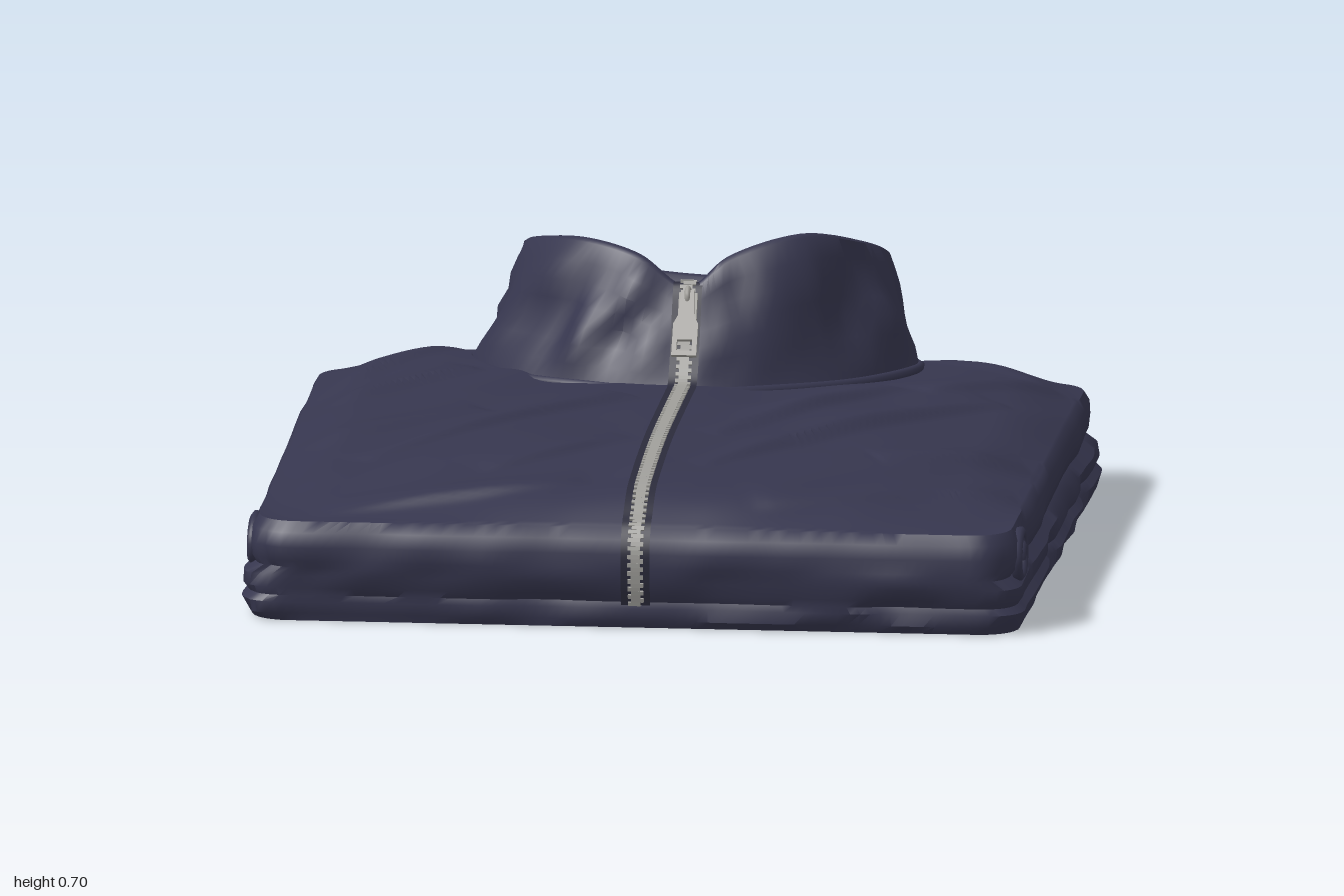
import * as THREE from 'three';
import { mergeGeometries, toCreasedNormals } from 'three/addons/utils/BufferGeometryUtils.js';

const V = (x, y, z) => new THREE.Vector3(x, y, z);
const mat = (name, color, side = THREE.FrontSide) => {
  const m = new THREE.MeshStandardMaterial({ color, side });
  m.name = name;
  return m;
};

// Seeded value noise, 0..1
const hash = (i, j) => {
  const s = Math.sin(i * 127.1 + j * 311.7 + 4.3) * 43758.5453;
  return s - Math.floor(s);
};
function noise(x, y) {
  const i = Math.floor(x), j = Math.floor(y);
  const f = (t) => t * t * (3 - 2 * t), u = f(x - i), v = f(y - j);
  const a = hash(i, j) + (hash(i + 1, j) - hash(i, j)) * u;
  const b = hash(i, j + 1) + (hash(i + 1, j + 1) - hash(i, j + 1)) * u;
  return a + (b - a) * v;
}

// Main cloth creases on the top panel: x, z at both ends, then height
const CREASES = [
  [-0.71, 0.5, -0.1, -0.05, 0.026], [-0.85, -0.18, -0.53, -0.45, 0.022], [-0.4, 0.66, -0.06, 0.4, 0.02],
  [-0.77, 0.9, -0.13, 0.76, 0.018], [-0.95, -0.35, -0.55, -0.82, 0.018], [-0.85, 0.3, -0.45, 0.05, 0.018],
  [0.13, 0.6, 0.8, -0.3, 0.026], [0.13, 0.33, 0.53, -0.32, 0.022], [0.3, 0.87, 0.93, 0.6, 0.02],
  [0.56, 0.46, 0.93, 0.28, 0.018], [0.6, -0.3, 0.9, -0.62, 0.018], [0.4, -0.8, 0.88, -0.66, 0.014],
];

// Each crease is steep on one side and gentle on the other; all calm beside the zip
function folds(x, z) {
  const along = (x - z) * 0.707, across = (x + z) * 0.707;
  let y = 0.022 * (noise(along * 1.7 + 9, across * 4.5) - 0.5) + 0.014 * (noise(along * 4 + 30, across * 9) - 0.5) - 0.007;
  for (const [x1, z1, x2, z2, h] of CREASES) {
    const dx = x2 - x1, dz = z2 - z1, l = Math.hypot(dx, dz);
    const t = ((x - x1) * dx + (z - z1) * dz) / (l * l);
    const d = ((z - z1) * dx - (x - x1) * dz) / l;
    const end = Math.max(0, 1 - (2 * t - 1) ** 2);
    y += h * Math.sqrt(end) * Math.exp(-((d / (d > 0 ? 0.024 : 0.085)) ** 2));
  }
  return y * Math.min(1, Math.abs(x - 0.01) / 0.18);
}

// Skin over closed rings of equal point count, listed from bottom to top
function loft(rings, crease) {
  const n = rings[0].length, index = [];
  for (let i = 0; i < rings.length - 1; i++) {
    for (let j = 0; j < n; j++) {
      const k = (j + 1) % n, a = i * n + j, b = i * n + k;
      index.push(a, b, b + n, a, b + n, a + n);
    }
  }
  const geo = new THREE.BufferGeometry().setFromPoints(rings.flat());
  geo.setIndex(index);
  return toCreasedNormals(geo, crease);
}

// Rounded unit square, from the front edge round to +x
function outline(perSide, r) {
  const pts = [];
  for (let s = 0; s < 4; s++) {
    for (let i = 0; i < perSide; i++) {
      const t = -1 + (2 * i) / perSide;
      const [x, z] = [[t, 1], [1, -t], [-t, -1], [-1, t]][s];
      const c = 1 - r, cx = Math.max(-c, Math.min(c, x)), cz = Math.max(-c, Math.min(c, z));
      const l = Math.hypot(x - cx, z - cz) || 1;
      pts.push([cx + (r * (x - cx)) / l, cz + (r * (z - cz)) / l]);
    }
  }
  return pts;
}

const HX = 0.985, HZ = 0.94, CZ = 0.05, EDGE = 0.25;
const smoothTop = (x, z) => 0.362 - 0.078 * x * x - 0.12 * Math.max(0, z - 0.25) ** 2 - 0.14 * Math.max(0, -z - 0.45) ** 2;
function topHeight(x, z, t) {
  const rise = 1 - (1 - Math.min(1, (1 - t) / 0.17)) ** 2;
  return EDGE + (smoothTop(x, z) + folds(x, z) - EDGE) * rise;
}

// Edge layers: height, then inset at the sides, front and back
const LAYERS = [
  [0, 0.016, 0.03, 0.07], [0.02, 0.004, 0.018, 0.05], [0.05, 0, 0.016, 0.02], [0.066, 0.018, 0.022, 0.012],
  [0.085, 0.005, 0.012, 0.004], [0.115, 0.005, 0.004, 0], [0.138, 0.035, 0, 0], [0.155, 0.022, 0, 0],
  [0.19, 0.015, 0, 0.008], [0.225, 0.02, 0.012, 0.02], [EDGE, 0.035, 0.032, 0.035],
];

function bodyGeometry() {
  const base = outline(72, 0.1), rings = [];
  const ring = (y, s, f, b, scale) => base.map(([px, pz], j) => {
    const rough = scale < 1 || y === 0 ? 0 : 0.024 * (1 - (y / EDGE) ** 4);
    const w = rough * (noise(j * 0.18, y * 16) - 0.5) * Math.min(1, Math.abs(px) / 0.2);
    // The back edge bows out at the middle and the sides taper to the front
    const dz = pz > 0 ? f : b + 0.035 * px * px;
    const x = px * (HX - s + w - 0.009 * (pz + 1)) * scale, z = CZ + pz * (HZ - dz + w) * scale;
    return V(x, y, z);
  });
  rings.push(ring(0, 0.016, 0.03, 0.07, 0));
  for (const [y, s, f, b] of LAYERS) rings.push(ring(y, s, f, b, 1));
  // Top panel shrinks toward the middle and carries the folds
  const steps = 64;
  for (let i = 1; i <= steps; i++) {
    const t = 1 - (i / steps) ** 1.15;
    rings.push(ring(EDGE, 0.035, 0.032, 0.035, t).map((p) => p.setY(topHeight(p.x, p.z, t))));
  }
  return loft(rings, 0.75);
}

// Collar edge lines, from the front centre round to +x
const COLLAR_BASE = [
  [0.01, 0.345, -0.18], [0.22, 0.345, -0.24], [0.42, 0.335, -0.39], [0.55, 0.325, -0.62], [0.5, 0.31, -0.77], [0.3, 0.3, -0.82],
  [0, 0.3, -0.83], [-0.3, 0.3, -0.82], [-0.51, 0.31, -0.76], [-0.56, 0.325, -0.62], [-0.43, 0.335, -0.38], [-0.22, 0.345, -0.24],
];
const COLLAR_TOP = [
  [0.01, 0.585, -0.305], [0.11, 0.655, -0.335], [0.29, 0.702, -0.41], [0.42, 0.655, -0.57], [0.465, 0.585, -0.76], [0.36, 0.515, -0.94],
  [0.02, 0.468, -0.998], [-0.31, 0.51, -0.96], [-0.43, 0.575, -0.81], [-0.41, 0.637, -0.62], [-0.26, 0.676, -0.43], [-0.12, 0.655, -0.345],
];
const closedCurve = (pts) => new THREE.CatmullRomCurve3(pts.map((p) => V(...p)), true);

function collarGeometry() {
  const n = 96, low = closedCurve(COLLAR_BASE), high = closedCurve(COLLAR_TOP);
  const ring = (h, inset) => Array.from({ length: n }, (_, j) => {
    const p = low.getPoint(j / n).lerp(high.getPoint(j / n), h);
    const inward = V(-p.x, 0, -0.62 - p.z).normalize();
    const front = Math.min(1, Math.min(j, n - j) / 7);
    const dent = Math.sin(Math.max(0, Math.min(1, h)) * Math.PI) * front * (0.07 * (noise(j * 0.28 + 5, h * 2.5) - 0.5) - 0.01);
    return p.addScaledVector(inward, inset + dent);
  });
  const rings = [];
  for (let i = 0; i <= 8; i++) rings.push(ring(-0.12 + (1.1 * i) / 8, 0));
  rings.push(ring(1, 0.006), ring(1, 0.018), ring(0.98, 0.024));
  for (let i = 7; i >= 0; i--) rings.push(ring(-0.12 + (1.1 * i) / 8, 0.024));
  return loft(rings, 0.7);
}

// Zip line: up the front roll, along the top, up the collar and over its edge
function zipCurve() {
  const pts = [V(0.01, 0.06, 0.975), V(0.01, 0.12, 0.992), V(0.01, 0.2, 0.994), V(0.01, 0.255, 0.962)];
  for (let z = 0.925; z > -0.14; z -= 0.04) {
    const t = Math.abs(z - CZ) / (HZ - 0.032);
    pts.push(V(0.01, topHeight(0.01, z, t) + 0.005, z));
  }
  pts.push(V(0.01, 0.37, -0.165), V(0.01, 0.42, -0.211), V(0.01, 0.5, -0.254), V(0.01, 0.585, -0.299));
  pts.push(V(0.01, 0.597, -0.316), V(0.01, 0.583, -0.336), V(0.01, 0.5, -0.294));
  return new THREE.CatmullRomCurve3(pts);
}

function zipTapeGeometry(curve, halfWidth) {
  const n = 180, pts = [], index = [];
  for (let i = 0; i <= n; i++) {
    const p = curve.getPointAt(i / n);
    pts.push(V(p.x - halfWidth, p.y, p.z), V(p.x + halfWidth, p.y, p.z));
    if (i < n) index.push(2 * i, 2 * i + 1, 2 * i + 3, 2 * i, 2 * i + 3, 2 * i + 2);
  }
  const geo = new THREE.BufferGeometry().setFromPoints(pts);
  geo.setIndex(index);
  geo.computeVertexNormals();
  return geo;
}

function zipTeethGeometry(curve) {
  const teeth = [], n = 170;
  for (let i = 0; i < n; i++) {
    const u = (i + 0.5) / n, p = curve.getPointAt(u), t = curve.getTangentAt(u);
    const g = new THREE.BoxGeometry(0.031, 0.011, 0.0105);
    g.rotateX(Math.atan2(-t.y, t.z));
    g.translate(p.x + (i % 2 ? 0.005 : -0.003), p.y, p.z);
    teeth.push(g);
  }
  return mergeGeometries(teeth);
}

export function createModel() {
  const group = new THREE.Group();
  const cloth = mat('navy cloth', 0x36364e, THREE.DoubleSide);
  const tape = mat('dark zip tape', 0x2b2b3b, THREE.DoubleSide);
  const teeth = mat('zip teeth grey', 0x9f9e9a);
  const metal = mat('zip pull metal', 0xa3a19c);
  const add = (name, geo, material, parent = group) => {
    const m = new THREE.Mesh(geo, material);
    m.name = name;
    parent.add(m);
    return m;
  };

  add('foldedBody', bodyGeometry(), cloth);
  add('collar', collarGeometry(), cloth);
  add('collarSeam', new THREE.TubeGeometry(closedCurve(COLLAR_BASE), 120, 0.013, 6, true), cloth);

  // Rolled hem ends showing at both sides
  for (const side of [1, -1]) {
    const pts = [];
    for (let i = 0; i <= 24; i++) {
      const a = (i / 24) * Math.PI * 3.6, r = 0.018 + 0.06 * (i / 24);
      pts.push(V(side * (0.952 - 0.008 * (i / 24)), 0.17 + r * Math.sin(a), 0.83 + 1.4 * r * Math.cos(a)));
    }
    add(side > 0 ? 'leftHemRoll' : 'rightHemRoll', new THREE.TubeGeometry(new THREE.CatmullRomCurve3(pts), 70, 0.015, 6), cloth);
  }

  const zip = zipCurve();
  add('zipTape', zipTapeGeometry(zip, 0.036), tape);
  add('zipTeeth', zipTeethGeometry(zip), teeth);

  // Slider and hanging tab, tilted to lie along the collar front
  const pull = new THREE.Group();
  pull.name = 'zipPull';
  pull.position.set(0.014, 0.55, -0.276);
  pull.rotation.x = -0.52;
  group.add(pull);
  add('slider', new THREE.BoxGeometry(0.046, 0.07, 0.025), metal, pull).position.set(0, -0.01, 0.0);
  const loop = add('sliderLoop', new THREE.TorusGeometry(0.02, 0.007, 8, 16), metal, pull);
  loop.rotation.y = Math.PI / 2;
  loop.position.set(0, 0.015, 0.016);
  const path = (Type, pts) => new Type(pts.map((p) => new THREE.Vector2(...p)));
  const tab = path(THREE.Shape, [[-0.016, 0.025], [-0.019, -0.04], [-0.031, -0.065], [-0.031, -0.15], [0.031, -0.15], [0.031, -0.065], [0.019, -0.04], [0.016, 0.025]]);
  tab.holes.push(path(THREE.Path, [[-0.019, -0.108], [0.019, -0.108], [0.019, -0.137], [-0.019, -0.137]]));
  const tabMesh = add('pullTab', new THREE.ExtrudeGeometry(tab, { depth: 0.012, bevelEnabled: false }), metal, pull);
  tabMesh.position.z = 0.022;
  tabMesh.rotation.x = -0.1;
  return group;
}
